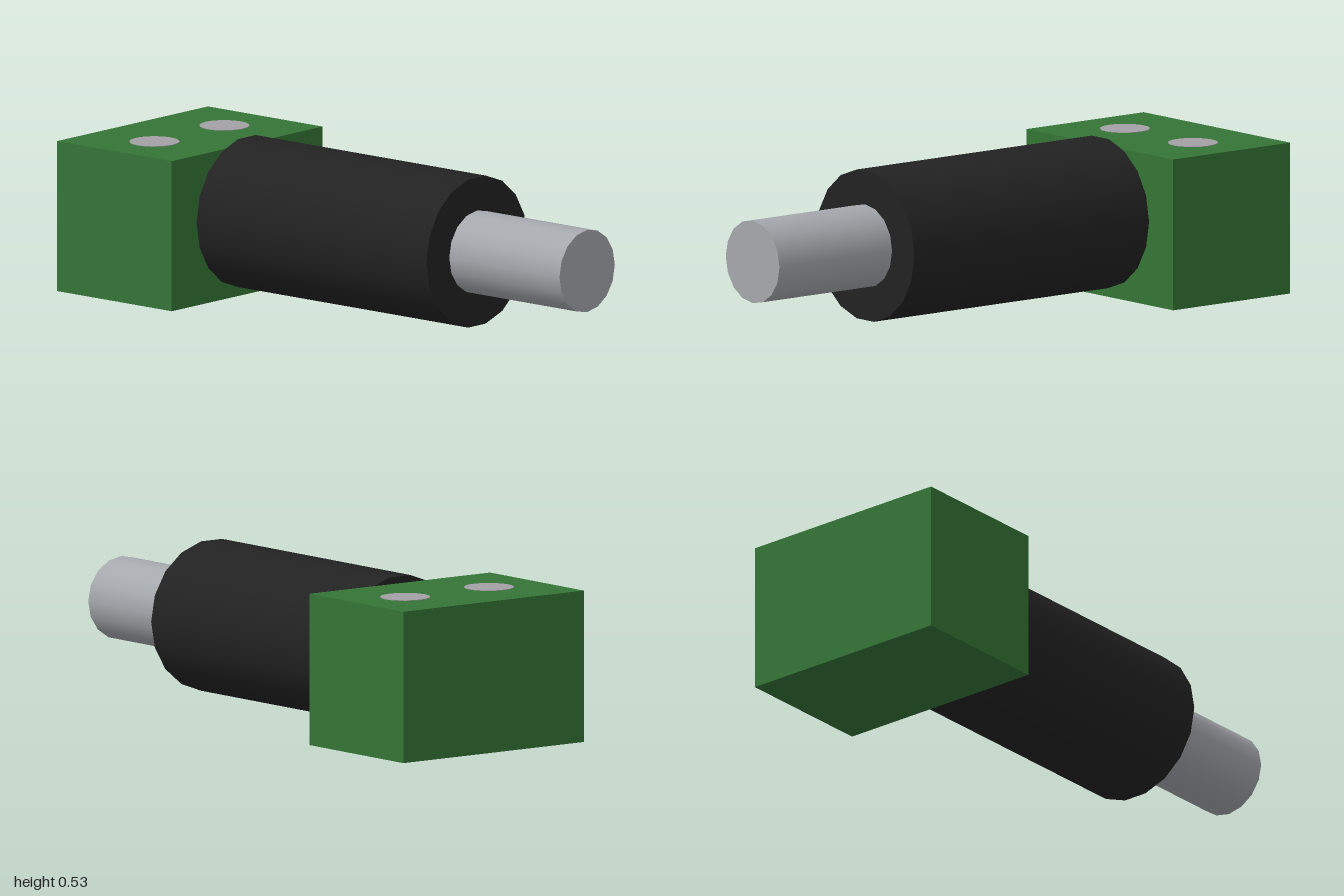
import * as THREE from 'three';

export function createModel() {
  const group = new THREE.Group();
  const material = (name, color) => {
    const m = new THREE.MeshStandardMaterial({ color });
    m.name = name;
    return m;
  };
  const green = material('green', 0x357536);
  const black = material('black', 0x222222);
  const steel = material('steel', 0xa5a8ad);
  const contactGrey = material('contact grey', 0xa4a1a6);

  const add = (name, geometry, mat, x, y, z) => {
    const mesh = new THREE.Mesh(geometry, mat);
    mesh.name = name;
    mesh.position.set(x, y, z);
    group.add(mesh);
  };

  // Cylinder lying along x between two ends, on the common axis
  const axisY = 0.28;
  const rod = (name, radius, x0, x1, sides, mat) => {
    const geometry = new THREE.CylinderGeometry(radius, radius, x1 - x0, sides);
    geometry.rotateZ(-Math.PI / 2);
    add(name, geometry, mat, (x0 + x1) / 2, axisY, 0);
  };

  // Terminal block at the rear end
  add('terminalBlock', new THREE.BoxGeometry(0.504, 0.507, 0.758), green, -0.748, 0.2535, 0);

  // Round contacts set flush in the top of the block
  for (const side of [-1, 1]) {
    add('contact', new THREE.CylinderGeometry(0.083, 0.083, 0.006, 20), contactGrey, -0.75, 0.506, side * 0.176);
  }

  // Sleeve and shaft
  rod('sleeve', 0.254, -0.497, 0.515, 18, black);
  rod('shaft', 0.139, 0.5, 1, 16, steel);

  return group;
}
